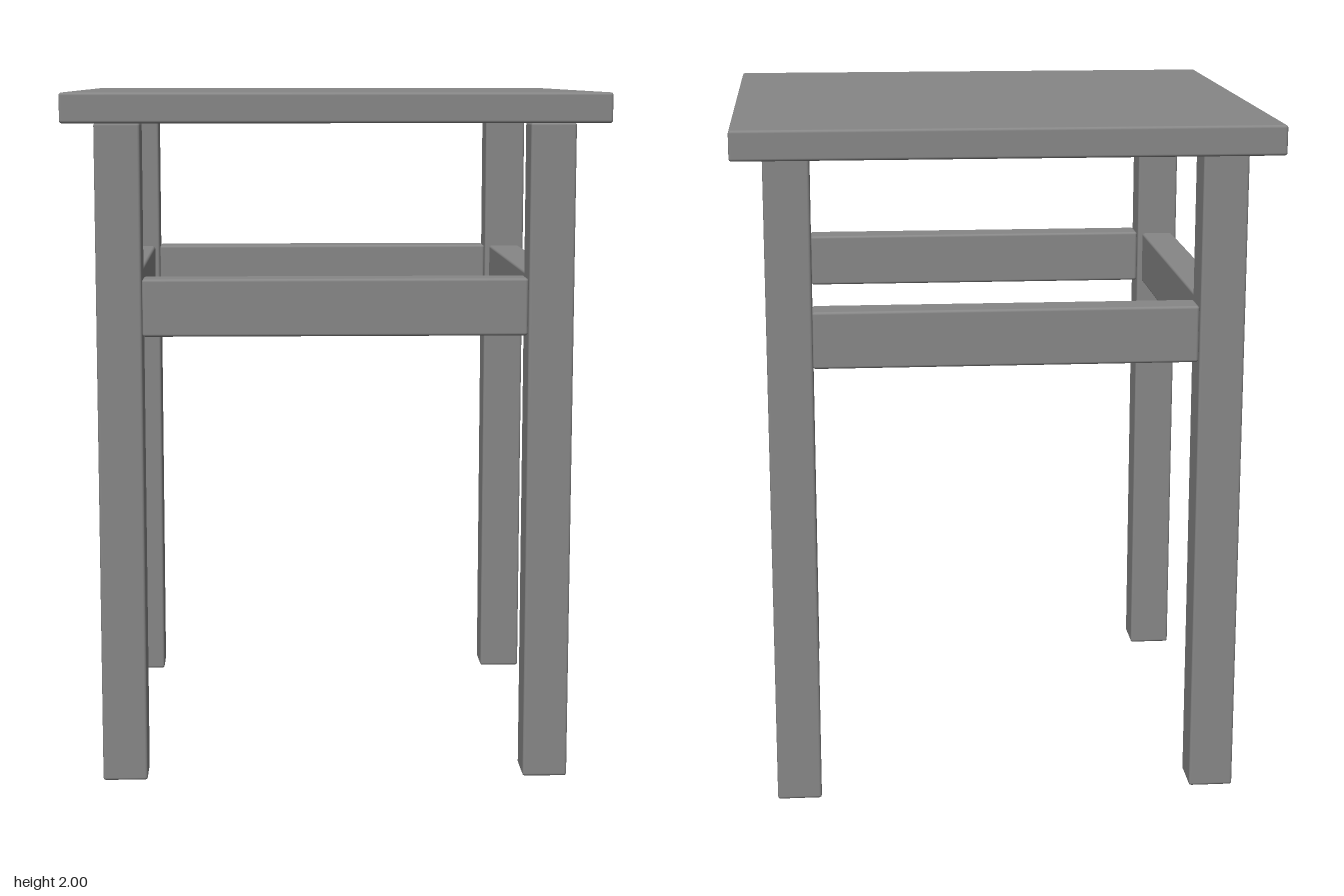
import * as THREE from 'three';
import { RoundedBoxGeometry } from 'three/addons/geometries/RoundedBoxGeometry.js';

export function createModel() {
  const stool = new THREE.Group();
  stool.name = 'stool';
  const material = new THREE.MeshStandardMaterial({ color: 0x878787 });

  // Softly eased board, centred at (x, y, z)
  function board(name, w, h, d, x, y, z) {
    const mesh = new THREE.Mesh(new RoundedBoxGeometry(w, h, d, 2, 0.008), material);
    mesh.name = name;
    mesh.position.set(x, y, z);
    stool.add(mesh);
  }

  const legCentre = 0.617;
  const legWidth = 0.13;
  const legHeight = 1.915;
  const seatThickness = 2 - legHeight;
  const railLength = 2 * legCentre - legWidth;
  const railHeight = 0.165;
  const railY = 1.39;

  // Square seat slab
  board('seat', 1.54, seatThickness, 1.54, 0, 2 - seatThickness / 2, 0);

  // Four straight legs
  for (const [sx, side] of [[1, 'Left'], [-1, 'Right']]) {
    for (const [sz, end] of [[1, 'front'], [-1, 'back']]) {
      board(`${end}${side}Leg`, legWidth, legHeight, legWidth, sx * legCentre, legHeight / 2, sz * legCentre);
    }
  }

  // Rails between the legs
  for (const s of [1, -1]) {
    board(s > 0 ? 'frontRail' : 'backRail', railLength, railHeight, 0.1, 0, railY, s * legCentre);
    board(s > 0 ? 'leftRail' : 'rightRail', 0.1, railHeight, railLength, s * legCentre, railY, 0);
  }

  return stool;
}
